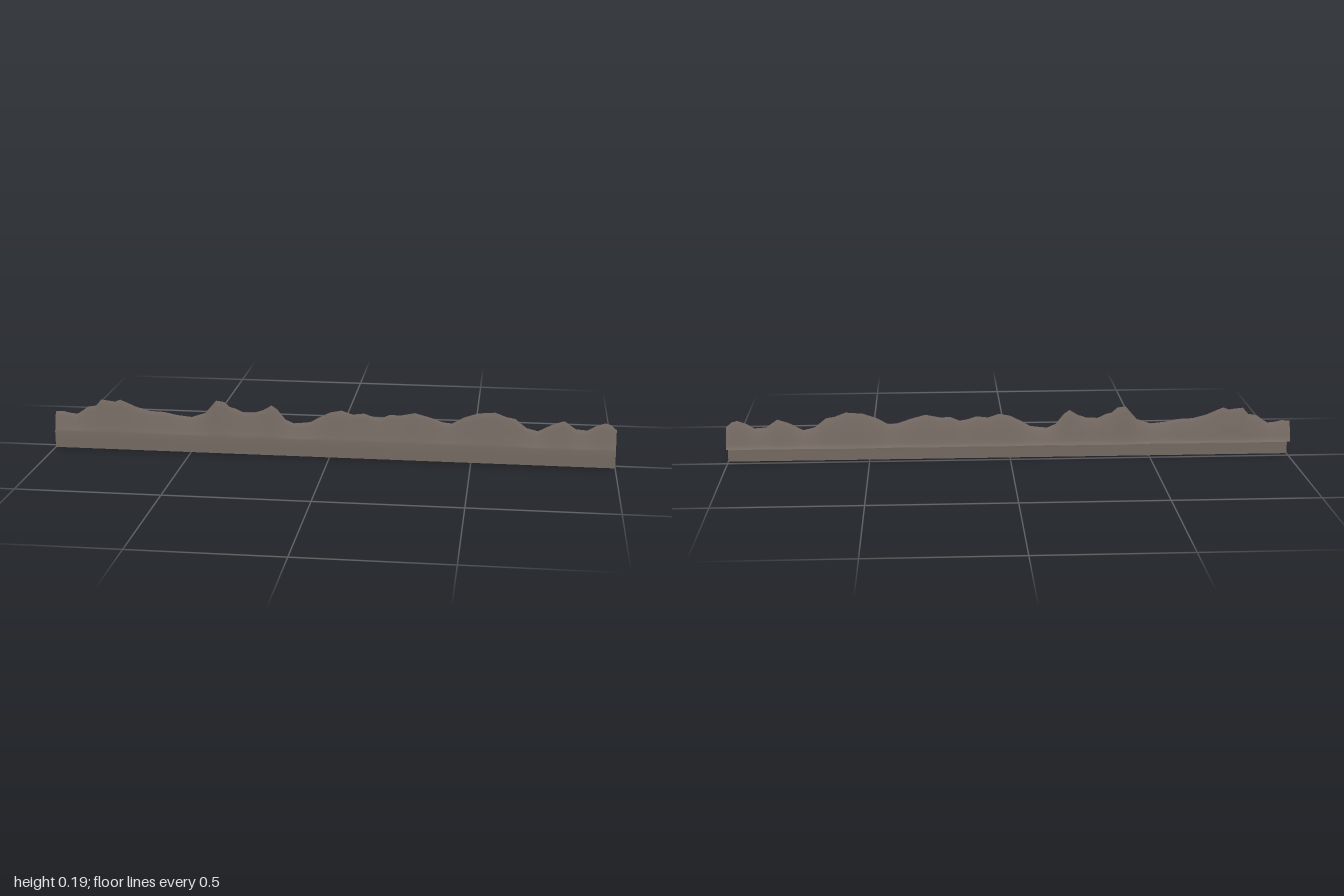
import * as THREE from 'three';

// Crest line as x, height pairs
const CREST = [
  -1, .128, -.97, .13, -.95, .125, -.92, .122, -.9, .135, -.88, .15, -.85, .155, -.83, .178,
  -.8, .175, -.78, .172, -.76, .18, -.73, .168, -.7, .155, -.65, .142, -.6, .14, -.55, .13,
  -.5, .125, -.45, .142, -.43, .165, -.41, .189, -.38, .185, -.36, .167, -.34, .162, -.31, .148,
  -.27, .15, -.24, .16, -.21, .178, -.19, .165, -.16, .128, -.13, .115, -.1, .118, -.07, .122,
  -.04, .14, 0, .16, .04, .168, .08, .155, .12, .16, .15, .15, .18, .145, .21, .158,
  .25, .158, .3, .168, .35, .155, .4, .138, .43, .135, .47, .158, .52, .175, .58, .18,
  .62, .165, .65, .16, .69, .128, .73, .118, .78, .145, .82, .158, .86, .13, .9, .127,
  .93, .145, .96, .155, .98, .15, 1, .132,
];

function crestHeight(x) {
  let i = 0;
  while (i < CREST.length - 4 && CREST[i + 2] < x) i += 2;
  const t = (x - CREST[i]) / (CREST[i + 2] - CREST[i]);
  return THREE.MathUtils.lerp(CREST[i + 1], CREST[i + 3], THREE.MathUtils.clamp(t, 0, 1));
}

// Cross-section over the crest: z and the share of the height above the base line
const BASE = 0.06;
const SECTION = [
  [.025, 0], [.022, .1], [.019, .25], [.016, .42], [.0125, .62], [.009, .82], [.006, .95],
  [.003, 1], [0, .95], [-.004, .82], [-.0085, .62], [-.0125, .42], [-.0155, .25],
  [-.0185, .1], [-.021, .03], [-.025, -.04],
];

// Open sheet: upright front wall, folded over the crest and down the back
function ridgeGeometry(steps = 200) {
  const pos = [], index = [], n = SECTION.length + 2;
  for (let i = 0; i <= steps; i++) {
    const x = -1 + 2 * i / steps, rise = crestHeight(x) - BASE;
    pos.push(x, 0, .025, x, BASE / 2, .025);
    for (const [z, t] of SECTION) pos.push(x, BASE + rise * t, z);
  }
  for (let i = 0; i < steps; i++) {
    for (let j = 0; j < n - 1; j++) {
      const a = i * n + j, b = a + n;
      index.push(a, b, b + 1, a, b + 1, a + 1);
    }
  }
  const g = new THREE.BufferGeometry();
  g.setAttribute('position', new THREE.Float32BufferAttribute(pos, 3));
  g.setIndex(index);
  g.computeVertexNormals();
  return g;
}

export function createModel() {
  const group = new THREE.Group();
  group.name = 'mountainRidge';

  const ridge = new THREE.Mesh(ridgeGeometry(),
    new THREE.MeshStandardMaterial({ color: 0x746962, side: THREE.DoubleSide }));
  ridge.name = 'ridgeSheet';
  group.add(ridge);

  // Small flattened stone tucked under the fold
  const stone = new THREE.Mesh(new THREE.SphereGeometry(1, 16, 10),
    new THREE.MeshStandardMaterial({ color: 0x3a342f }));
  stone.name = 'innerStone';
  stone.scale.set(.013, .003, .008);
  stone.position.set(0, .062, .01);
  group.add(stone);

  return group;
}
